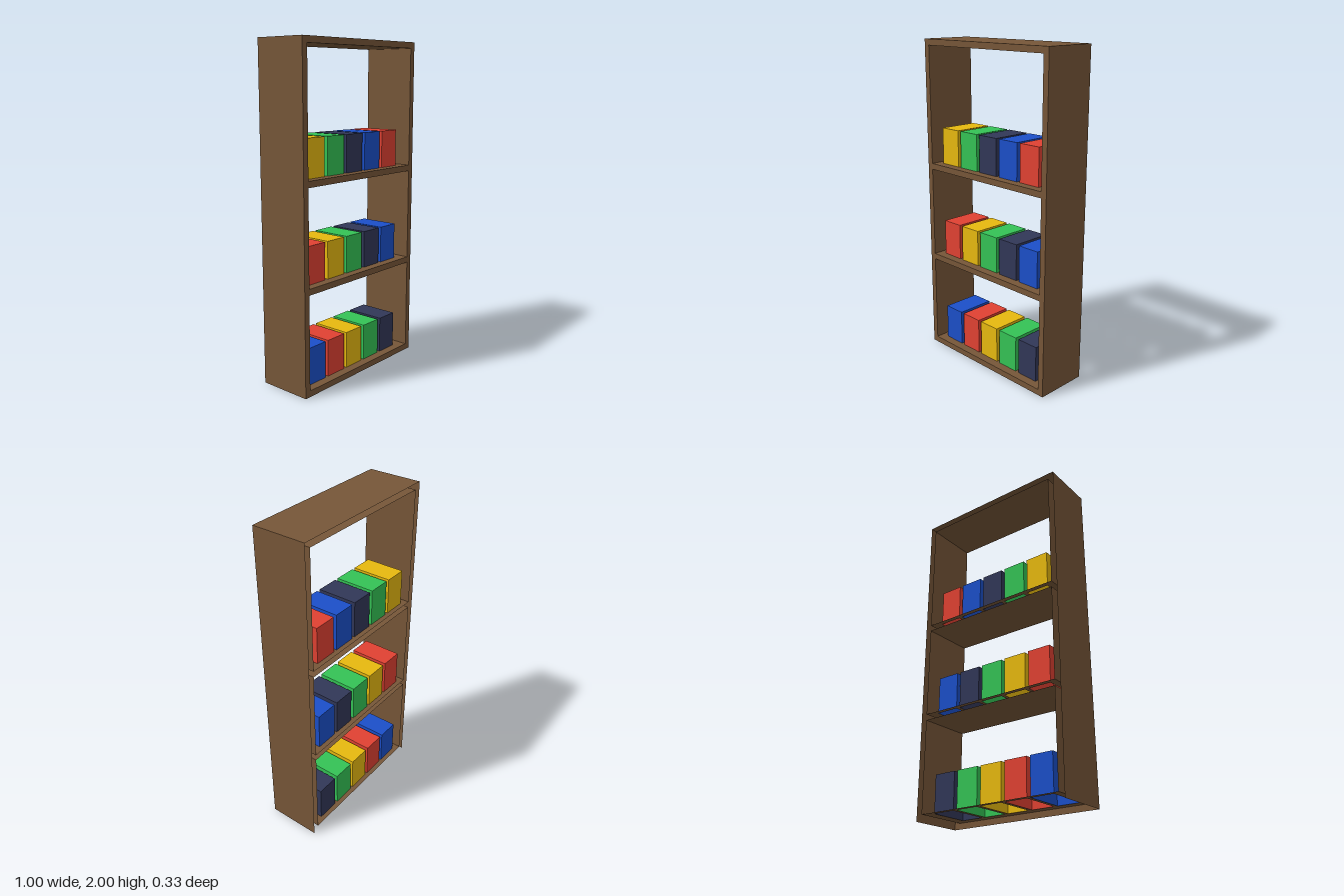
import * as THREE from 'three';

const W = 0.5, D = 0.167, H = 2, T = 0.037;      // half width, half depth, height, board thickness
const IN = W - T;                                // inner half width
const LEVELS = [0, 0.601, 1.203];                // underside of each shelf
const BOOK = { w: 0.143, h: 0.225, z0: -0.137, z1: 0.113, pitch: 0.1667, x0: -0.417 };

const mat = (name, color) => {
  const m = new THREE.MeshStandardMaterial({ color, side: THREE.DoubleSide });
  m.name = name;
  return m;
};

function rect(Type, x0, y0, x1, y1) {
  const p = new Type();
  p.moveTo(x0, y0);
  p.lineTo(x1, y0);
  p.lineTo(x1, y1);
  p.lineTo(x0, y1);
  p.closePath();
  return p;
}

export function createModel() {
  const model = new THREE.Group();
  model.name = 'bookcase';
  const wood = mat('wood', 0x765638);
  const covers = [
    mat('blue', 0x1b4fc8), mat('red', 0xe04132), mat('yellow', 0xe6b80f),
    mat('green', 0x34c255), mat('navy', 0x313757),
  ];

  const add = (name, geometry, material, parent = model) => {
    const mesh = new THREE.Mesh(geometry, material);
    mesh.name = name;
    parent.add(mesh);
    return mesh;
  };
  // Upright panel facing +x (dir 1) or -x (dir -1)
  const sidePanel = (name, x, y0, y1, dir) => {
    const m = add(name, new THREE.PlaneGeometry(2 * D, y1 - y0), wood);
    m.rotation.y = dir * Math.PI / 2;
    m.position.set(x, (y0 + y1) / 2, 0);
  };
  // Level panel facing up (dir 1) or down (dir -1)
  const levelPanel = (name, y, halfWidth, dir) => {
    const m = add(name, new THREE.PlaneGeometry(2 * halfWidth, 2 * D), wood);
    m.rotation.x = -dir * Math.PI / 2;
    m.position.y = y;
  };

  // Outer shell, open at the back and underneath
  sidePanel('leftOuterSide', W, 0, H, 1);
  sidePanel('rightOuterSide', -W, 0, H, -1);
  levelPanel('topBoard', H, W, 1);

  // Front face with one opening per compartment
  const front = rect(THREE.Shape, -W, 0, W, H);
  LEVELS.forEach((y, row) => {
    const floor = y + T;
    const ceiling = row < 2 ? LEVELS[row + 1] : H - T;
    front.holes.push(rect(THREE.Path, -IN, floor, IN, ceiling));

    // Inner walls and ceiling of the compartment
    sidePanel('leftInnerSide', IN, floor, ceiling, -1);
    sidePanel('rightInnerSide', -IN, floor, ceiling, 1);
    levelPanel('shelfUnderside', ceiling, IN, -1);

    // Shelf top, cut out beneath every book
    const shelf = rect(THREE.Shape, -IN, -D, IN, D);
    const books = new THREE.Group();
    books.name = 'bookRow';
    model.add(books);
    for (let i = 0; i < 5; i++) {
      const x = BOOK.x0 + i * BOOK.pitch;
      shelf.holes.push(rect(THREE.Path, x, -BOOK.z1, x + BOOK.w, -BOOK.z0));

      // Book block without a bottom face (box face order: +x -x +y -y +z -z)
      const box = new THREE.BoxGeometry(BOOK.w, BOOK.h, BOOK.z1 - BOOK.z0);
      const index = Array.from(box.index.array);
      index.splice(18, 6);
      box.setIndex(index);
      box.clearGroups();
      box.translate(x + BOOK.w / 2, floor + BOOK.h / 2, (BOOK.z0 + BOOK.z1) / 2);
      add('book', box, covers[(i + row) % 5], books);   // colours shift by one on each shelf
    }
    const top = add('shelfTop', new THREE.ShapeGeometry(shelf), wood);
    top.rotation.x = -Math.PI / 2;
    top.position.y = floor;
  });
  add('frontFrame', new THREE.ShapeGeometry(front), wood).position.z = D;

  return model;
}
